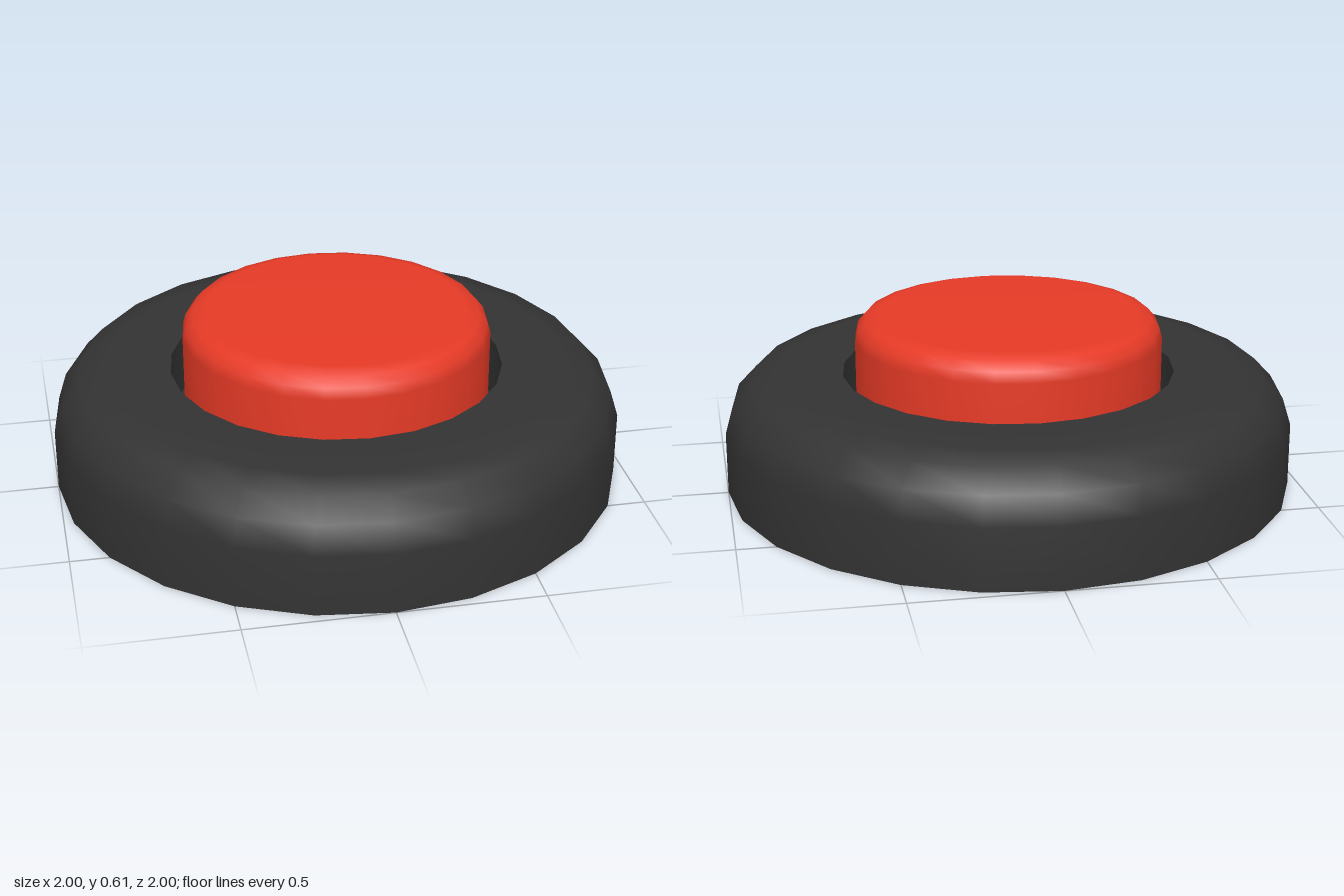
import * as THREE from 'three';

const SIDES = 24;

// Turns a profile; a point given twice in a row makes a sharp edge.
function turned(name, profile, material) {
  const points = profile.map(([r, y]) => new THREE.Vector2(r, y));
  const geometry = new THREE.LatheGeometry(points, SIDES);
  geometry.normalizeNormals();
  const mesh = new THREE.Mesh(geometry, material);
  mesh.name = name;
  return mesh;
}

export function createModel() {
  const group = new THREE.Group();
  group.name = 'pushButton';

  const housingBlack = new THREE.MeshStandardMaterial({ color: 0x333333 });
  housingBlack.name = 'housing black';
  const buttonRed = new THREE.MeshStandardMaterial({ color: 0xe63a26 });
  buttonRed.name = 'button red';

  // Round housing with a rounded shoulder and a well for the button
  group.add(turned('housing', [
    [0, 0], [1, 0], [1, 0],
    [1, 0.22], [0.97, 0.315], [0.905, 0.385], [0.81, 0.408],
    [0.585, 0.408], [0.585, 0.408],
    [0.585, 0.2], [0.585, 0.2], [0, 0.2],
  ], housingBlack));

  // Button cap standing in the well
  group.add(turned('buttonCap', [
    [0.54, 0.2], [0.54, 0.53], [0.53, 0.567],
    [0.503, 0.598], [0.455, 0.612], [0, 0.612],
  ], buttonRed));

  return group;
}
